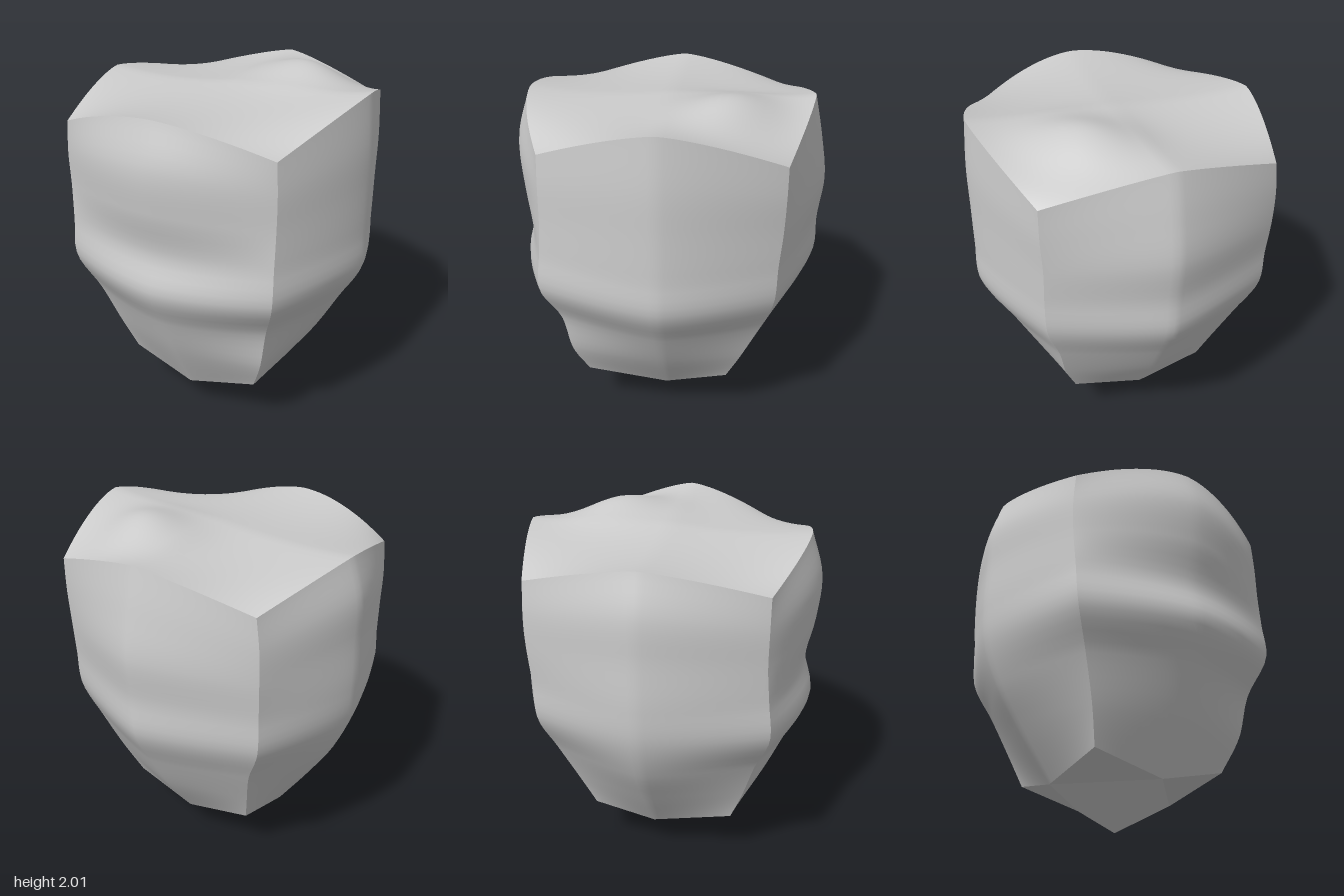
import * as THREE from 'three';
import { ParametricGeometry } from 'three/addons/geometries/ParametricGeometry.js';

// Heights of the stations down a corner edge and down the middle of a face
const CORNER_Y = [1.78, 1.6, 1.4, 1.2, 0.98, 0.75, 0.5, 0.3];
const MID_Y = [1.94, 1.7, 1.45, 1.2, 0.98, 0.75, 0.5, 0.2];

const curve = (xs, ys, zs) => new THREE.CatmullRomCurve3(
  ys.map((y, i) => new THREE.Vector3(xs[i], y, zs[i])), false, 'centripetal');

// Corner edges: front right, front left, back left, back right
const backZ = [-0.64, -0.64, -0.635, -0.62, -0.61, -0.54, -0.44, -0.36];
const corners = [
  curve([-0.65, -0.665, -0.66, -0.65, -0.64, -0.545, -0.46, -0.4], CORNER_Y,
    [0.65, 0.65, 0.65, 0.665, 0.68, 0.6, 0.53, 0.46]),
  curve([0.62, 0.63, 0.63, 0.63, 0.63, 0.55, 0.5, 0.42], CORNER_Y,
    [0.64, 0.645, 0.65, 0.665, 0.68, 0.585, 0.545, 0.47]),
  curve([0.65, 0.65, 0.64, 0.64, 0.63, 0.55, 0.49, 0.41], CORNER_Y, backZ),
  curve([-0.64, -0.66, -0.66, -0.65, -0.64, -0.54, -0.46, -0.4], CORNER_Y, backZ),
];

// Faces run from corner k to corner k + 1; bulge is the middle's distance out
const faces = [
  { name: 'frontFace', axis: 'z', sign: 1, top: 1.94, low: 0.19, p: 1.7,
    bulge: [0.81, 0.88, 0.865, 0.82, 0.865, 0.76, 0.65, 0.49] },
  { name: 'leftFace', axis: 'x', sign: 1, top: 1.99, low: 0.22, p: 1.4,
    bulge: [0.84, 0.86, 0.86, 0.86, 0.855, 0.73, 0.59, 0.4] },
  { name: 'backFace', axis: 'z', sign: -1, top: 1.94, low: 0.22, p: 1.25,
    bulge: [0.79, 0.84, 0.875, 0.85, 0.845, 0.73, 0.59, 0.39] },
  { name: 'rightFace', axis: 'x', sign: -1, top: 1.92, low: 0.22, p: 1.35,
    bulge: [0.79, 0.855, 0.86, 0.865, 0.845, 0.76, 0.605, 0.41] },
];
for (const f of faces) {
  const ys = [f.top, ...MID_Y.slice(1, -1), f.low];
  const out = f.bulge.map(b => b * f.sign);
  const zero = ys.map(() => 0);
  f.mid = f.axis === 'z' ? curve(zero, ys, out) : curve(out, ys, zero);
}

// Point on face k: t from -1 to 1 across, s from 0 at the top to 1 at the bottom
function facePoint(k, t, s) {
  const f = faces[k];
  const c = corners[t < 0 ? k : (k + 1) % 4].getPoint(s);
  const m = f.mid.getPoint(s);
  const a = Math.abs(t);
  const w = Math.pow(a, THREE.MathUtils.lerp(f.p, 1, s ** 4));
  const r = m.clone().lerp(c, w);
  const side = f.axis === 'z' ? 'x' : 'z';
  r[side] = c[side] * a;
  return r;
}

// Top: a patch stretched between the four upper edges, dished with one hump
function topPoint(x, z) {
  const u = (x + 1) / 2, v = (z + 1) / 2;
  const front = facePoint(0, x, 0), back = facePoint(2, -x, 0);
  const left = facePoint(1, -z, 0), right = facePoint(3, z, 0);
  const [fr, fl, bl, br] = corners.map(c => c.getPoint(0));
  const p = back.lerp(front, v).add(right.lerp(left, u));
  p.sub(br.lerp(bl, u).lerp(fr.lerp(fl, u), v));
  const inside = (1 - x * x) * (1 - z * z);
  const hump = Math.exp(-((x - 0.45) ** 2 + (z + 0.55) ** 2) / 0.15);
  p.y += inside * (0.18 * hump - 0.18);
  return p;
}

export function createModel() {
  const group = new THREE.Group();
  const smooth = new THREE.MeshStandardMaterial({ color: 0xcccccc });
  const flat = new THREE.MeshStandardMaterial({ color: 0xcccccc, flatShading: true });
  const add = (name, fn, segments, material) => {
    const geometry = new ParametricGeometry((u, v, target) => target.copy(fn(u, v)), segments, segments);
    const mesh = new THREE.Mesh(geometry, material);
    mesh.name = name;
    group.add(mesh);
  };

  // Four bulging sides
  faces.forEach((f, k) => add(f.name, (u, v) => facePoint(k, 2 * u - 1, 1 - v), 32, smooth));

  // Dished top
  add('topFace', (u, v) => topPoint(2 * u - 1, 1 - 2 * v), 32, smooth);

  // Four facets meeting at the bottom point
  const tip = new THREE.Vector3(0, 0, 0.02);
  for (let k = 0; k < 4; k++) {
    const mid = facePoint(k, 0, 1), next = facePoint((k + 1) % 4, 0, 1);
    const corner = facePoint(k, 1, 1);
    add('bottomFacet' + (k + 1), (u, v) =>
      tip.clone().lerp(next, u).lerp(mid.clone().lerp(corner, u), v), 1, flat);
  }
  return group;
}
